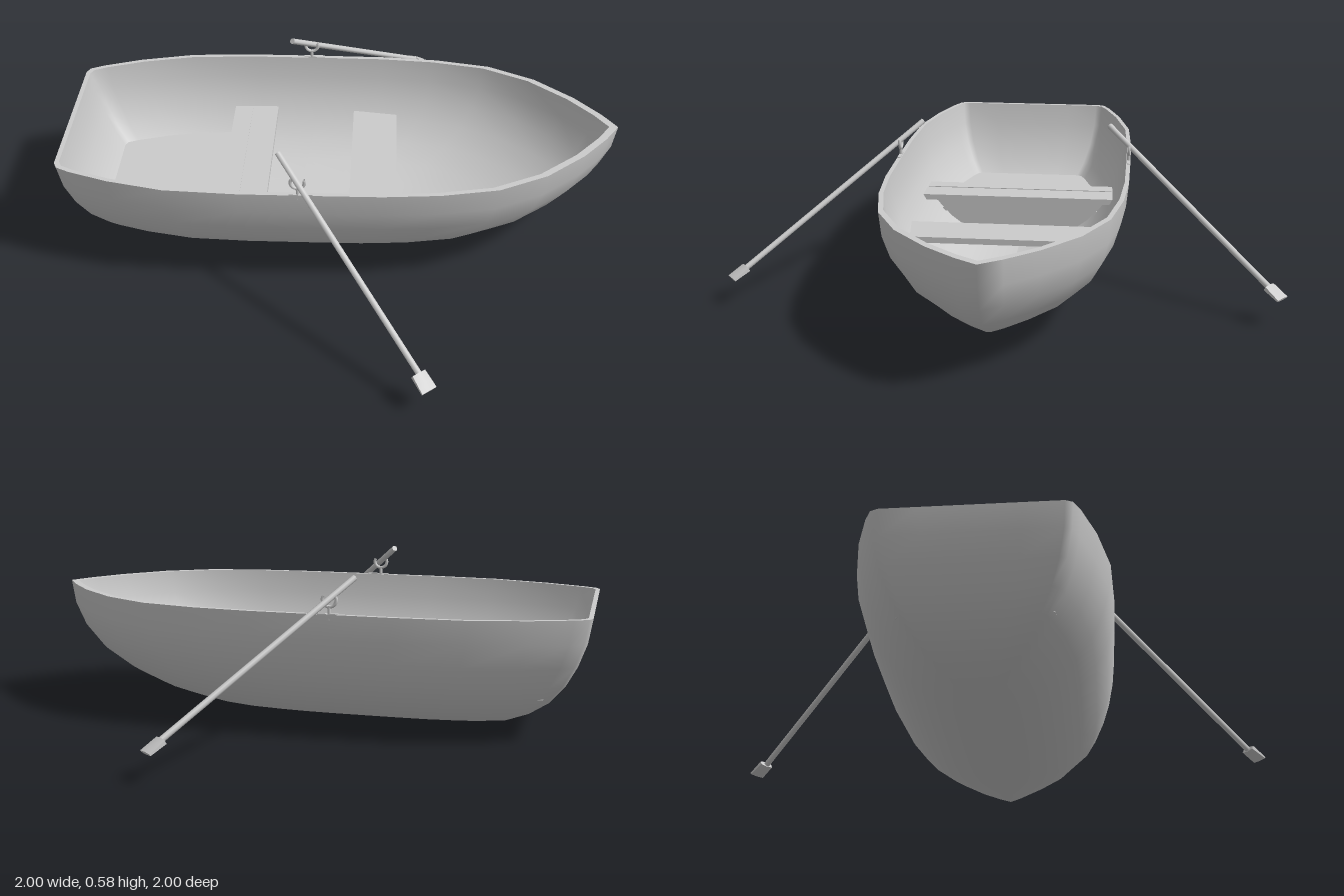
import * as THREE from 'three';

const SHEER = 0.45;
const MID = Math.PI / 2;

// Gunwale outline, stern centre to stem: [fraction of length, half beam]
const OUTLINE = [
  [0, 0], [0, 0.16], [0, 0.29], [0.006, 0.315], [0.03, 0.338], [0.1, 0.385],
  [0.2, 0.428], [0.325, 0.44], [0.45, 0.44], [0.575, 0.438], [0.675, 0.423],
  [0.775, 0.385], [0.86, 0.3], [0.93, 0.18], [0.975, 0.075], [1, 0],
];
// Stern and stem positions on each waterline, from the gunwale down to the keel
const STERN = [-1, -0.985, -0.955, -0.915, -0.862, -0.79, -0.71, -0.6, -0.5];
const STEM = [1, 0.985, 0.945, 0.875, 0.77, 0.645, 0.5, 0.34, 0.2];

const material = () => new THREE.MeshStandardMaterial({ color: 0xcccccc, side: THREE.DoubleSide });

function addMesh(parent, name, geometry) {
  const mesh = new THREE.Mesh(geometry, material());
  mesh.name = name;
  parent.add(mesh);
  return mesh;
}

// One closed waterline of the hull
function waterline(level) {
  const a = (level / (STERN.length - 1)) * MID;
  const y = SHEER * (1 - Math.sin(a));
  const beam = Math.cos(a);
  const side = OUTLINE.map(([s, z]) =>
    new THREE.Vector3(THREE.MathUtils.lerp(STERN[level], STEM[level], s), y, z * beam));
  const mirrored = side.slice(1, -1).reverse().map((p) => new THREE.Vector3(p.x, p.y, -p.z));
  return [...side, ...mirrored];
}

// Skin joining closed rings of equal length
function loft(rings, outward) {
  const n = rings[0].length;
  const index = [];
  for (let j = 0; j < rings.length - 1; j++) {
    for (let i = 0; i < n; i++) {
      const a = j * n + i;
      const b = j * n + ((i + 1) % n);
      const c = a + n;
      const d = b + n;
      index.push(...(outward ? [a, c, b, b, c, d] : [a, b, c, b, d, c]));
    }
  }
  const geometry = new THREE.BufferGeometry().setFromPoints(rings.flat());
  geometry.setIndex(index);
  geometry.computeVertexNormals();
  return geometry;
}

// Flat board lying in the xz plane, mirrored about the centreline
function board(points, top, thickness) {
  const all = [...points, ...points.map(([x, z]) => [x, -z]).reverse()];
  const shape = new THREE.Shape(all.map(([x, z]) => new THREE.Vector2(x, z)));
  const geometry = new THREE.ExtrudeGeometry(shape, { depth: thickness, bevelEnabled: false });
  return geometry.rotateX(MID).translate(0, top, 0);
}

// Cylinder between two points
function rod(from, to, r0, r1, sides) {
  const dir = to.clone().sub(from);
  const geometry = new THREE.CylinderGeometry(r1, r0, dir.length(), sides);
  geometry.applyQuaternion(new THREE.Quaternion().setFromUnitVectors(
    new THREE.Vector3(0, 1, 0), dir.clone().normalize()));
  const mid = from.clone().add(to).multiplyScalar(0.5);
  return geometry.translate(mid.x, mid.y, mid.z);
}

// Oar on the +z side (side = 1) or the -z side (side = -1)
function createOar(side) {
  const oar = new THREE.Group();
  oar.name = side > 0 ? 'frontOar' : 'backOar';
  const at = (x, y, z) => new THREE.Vector3(x, y, z * side);
  addMesh(oar, 'oarShaft', rod(at(-0.207, 0.566, 0.357), at(0.282, 0.125, 0.938), 0.011, 0.011, 8));

  // Blade, thinner and a little wider toward the tip
  const blade = new THREE.BoxGeometry(0.056, 0.026, 0.066, 2, 1, 2);
  const pos = blade.attributes.position;
  for (let i = 0; i < pos.count; i++) {
    const k = pos.getZ(i) / 0.066 + 0.5;
    const edge = Math.abs(pos.getX(i)) > 0.01 ? 0.55 : 1;
    pos.setX(i, pos.getX(i) * (0.92 + 0.12 * k));
    pos.setY(i, pos.getY(i) * (1 - 0.55 * k) * edge);
  }
  blade.computeVertexNormals();
  const bladeMesh = addMesh(oar, 'oarBlade', blade);
  bladeMesh.position.copy(at(0.295, 0.112, 0.958));
  bladeMesh.lookAt(at(0.295 + 0.34, 0.112 - 0.29, 0.958 + 0.43));
  return oar;
}

function createOarlock(side) {
  const lock = new THREE.Group();
  lock.name = side > 0 ? 'frontOarlock' : 'backOarlock';
  // Open fork that cradles the shaft
  const arc = Math.PI * 1.3;
  const fork = new THREE.TorusGeometry(0.024, 0.006, 8, 18, arc);
  fork.rotateZ(-MID - arc / 2).translate(0, 0.5, 0);
  addMesh(lock, 'oarlockFork', fork);
  addMesh(lock, 'oarlockPin', new THREE.CylinderGeometry(0.006, 0.006, 0.05, 8).translate(0, 0.455, 0));
  addMesh(lock, 'oarlockPlate', new THREE.BoxGeometry(0.08, 0.006, 0.012).translate(0.01, 0.45, 0));
  lock.position.set(-0.137, 0, 0.433 * side);
  return lock;
}

export function createModel() {
  const boat = new THREE.Group();
  boat.name = 'rowingBoat';

  // Hull: outer skin, inner skin and the rim between them
  const outer = STERN.map((_, level) => waterline(level));
  const inner = outer.map((ring) => ring.map((p) => new THREE.Vector3(
    p.x * 0.976 - 0.008, SHEER - (SHEER - p.y) * 0.955, p.z * 0.965)));
  addMesh(boat, 'hullOutside', loft(outer, true));
  addMesh(boat, 'hullInside', loft(inner, false));
  addMesh(boat, 'gunwale', loft([outer[0], inner[0]], false));

  // Seats and stern platform
  addMesh(boat, 'aftSeat', board([[-0.44, 0.375], [-0.27, 0.378]], 0.25, 0.022));
  addMesh(boat, 'middleSeat', board([[0.03, 0.368], [0.2, 0.346]], 0.24, 0.022));
  addMesh(boat, 'sternPlatform', board(
    [[-0.865, 0.2], [-0.858, 0.232], [-0.84, 0.247], [-0.7, 0.282], [-0.55, 0.303], [-0.37, 0.312]], 0.165, 0.015));

  // Bulkhead under the aft seat, following the hull section
  const section = new THREE.Shape();
  for (let i = 0; i <= 12; i++) {
    const a = Math.PI + 0.48 + (i / 12) * (Math.PI - 0.96);
    section[i ? 'lineTo' : 'moveTo'](Math.cos(a) * 0.415, SHEER + Math.sin(a) * 0.427);
  }
  const bulkhead = new THREE.ExtrudeGeometry(section, { depth: 0.02, bevelEnabled: false });
  addMesh(boat, 'bulkhead', bulkhead.rotateY(MID).translate(-0.39, 0, 0));

  // Oars and oarlocks on both sides
  for (const side of [1, -1]) boat.add(createOar(side), createOarlock(side));
  return boat;
}
